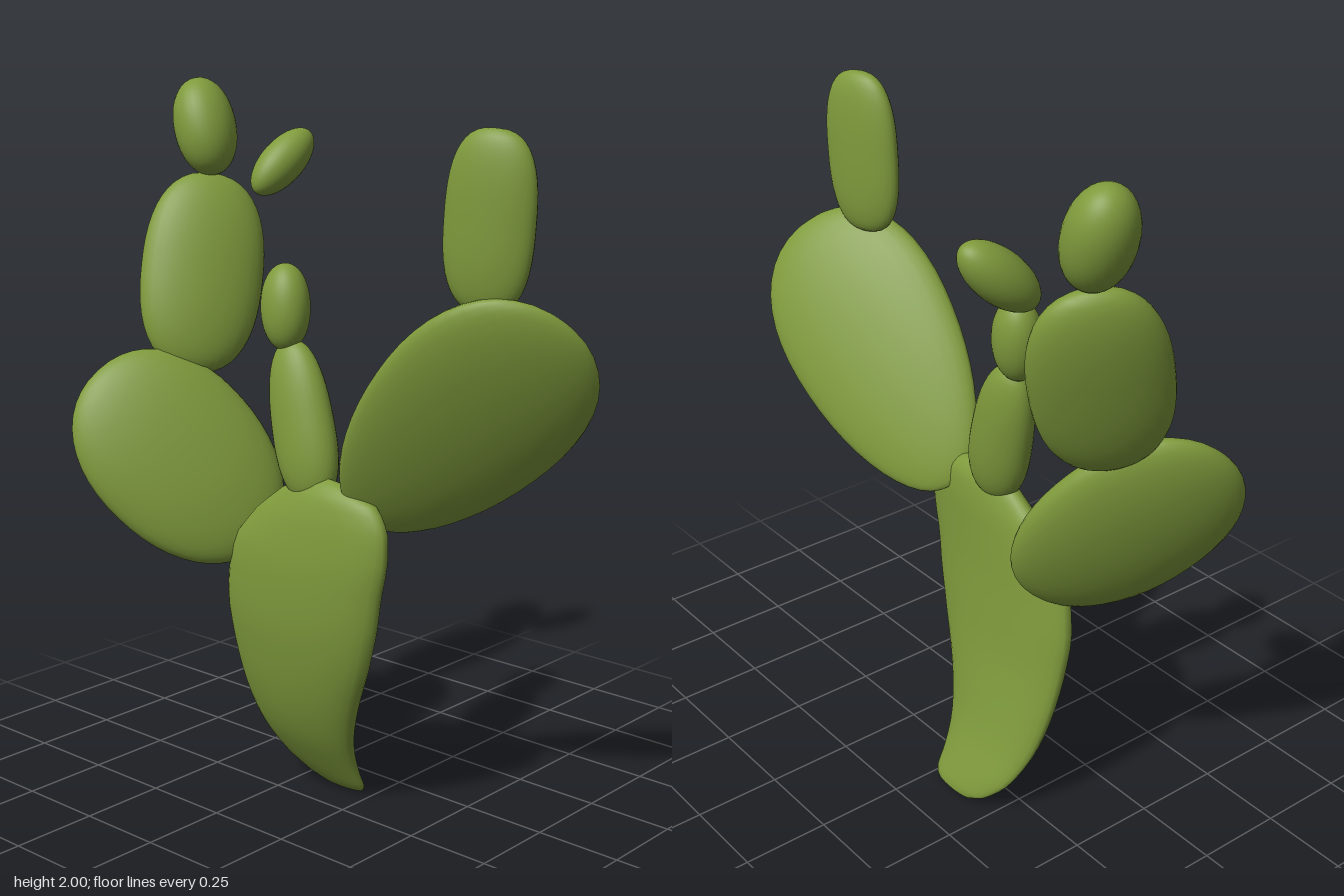
import * as THREE from 'three';
import { mergeVertices } from 'three/addons/utils/BufferGeometryUtils.js';

const green = new THREE.MeshStandardMaterial({ color: 0x7f9a3c });
green.name = 'cactusGreen';

// Weld the seam so the shading stays smooth all round
function smooth(geo) {
  geo.deleteAttribute('uv');
  geo.deleteAttribute('normal');
  const welded = mergeVertices(geo, 1e-4);
  welded.computeVertexNormals();
  return welded;
}

function addMesh(group, name, geo) {
  const mesh = new THREE.Mesh(smooth(geo), green);
  mesh.name = name;
  group.add(mesh);
}

// A pad grows along axis and faces along normal; size is half width, length, thickness.
// power makes the outline boxier, egg makes the tip wider than the base.
function padGeometry({ center, axis, normal, size, power = 2, egg = 0 }) {
  const geo = new THREE.SphereGeometry(1, 32, 24);
  const p = geo.attributes.position;
  for (let i = 0; i < p.count; i++) {
    const y = p.getY(i);
    const round = Math.sqrt(Math.max(0, 1 - y * y));
    const wanted = Math.pow(Math.max(0, 1 - Math.pow(Math.abs(y), power)), 1 / power);
    const k = round > 1e-4 ? (wanted / round) * (1 + egg * y) : 0;
    p.setXYZ(i, p.getX(i) * k * size[0], y * size[1], p.getZ(i) * k * size[2]);
  }
  const v = new THREE.Vector3(...axis).normalize();
  const w = new THREE.Vector3().crossVectors(v, new THREE.Vector3(...normal)).normalize();
  const n = new THREE.Vector3().crossVectors(w, v);
  geo.applyMatrix4(new THREE.Matrix4().makeBasis(w, v, n).setPosition(...center));
  return geo;
}

// The curved trunk pad is lofted through level cross-sections
function trunkGeometry() {
  // y, x min, x max, z, half thickness
  const rows = [
    [0.005, -0.11, -0.11, -0.12, 0],
    [0.015, -0.17, -0.03, -0.115, 0.014],
    [0.04, -0.22, -0.01, -0.102, 0.024],
    [0.1, -0.278, -0.005, -0.07, 0.036],
    [0.2, -0.322, 0.018, -0.022, 0.05],
    [0.32, -0.348, 0.065, 0.016, 0.06],
    [0.46, -0.364, 0.13, 0.046, 0.065],
    [0.6, -0.37, 0.176, 0.063, 0.068],
    [0.74, -0.343, 0.207, 0.07, 0.066],
    [0.86, -0.25, 0.212, 0.066, 0.058],
    [0.93, -0.16, 0.17, 0.062, 0.045],
    [0.965, -0.09, 0.08, 0.06, 0.025],
    [0.98, 0, 0, 0.06, 0],
  ];
  const spine = new THREE.CatmullRomCurve3(
    rows.map(([y, a, b, z]) => new THREE.Vector3((a + b) / 2, y, z)));
  const girth = new THREE.CatmullRomCurve3(
    rows.map(([, a, b, , t]) => new THREE.Vector3((b - a) / 2, t, 0)));
  const rings = 36, sides = 32, pos = [], index = [];
  for (let i = 0; i <= rings; i++) {
    const c = spine.getPoint(i / rings), g = girth.getPoint(i / rings);
    for (let j = 0; j < sides; j++) {
      const a = (j / sides) * Math.PI * 2;
      pos.push(c.x + Math.sin(a) * g.x, c.y, c.z + Math.cos(a) * g.y);
      if (i === rings) continue;
      const p = i * sides + j, q = i * sides + ((j + 1) % sides);
      index.push(p, q, p + sides, q, q + sides, p + sides);
    }
  }
  const geo = new THREE.BufferGeometry();
  geo.setAttribute('position', new THREE.Float32BufferAttribute(pos, 3));
  geo.setIndex(index);
  return geo;
}

export function createModel() {
  const group = new THREE.Group();
  group.name = 'cactus';
  addMesh(group, 'trunkPad', trunkGeometry());

  const pads = {
    // Arm on the model's left
    leftLargePad: { center: [0.39, 1.17, 0.005], axis: [0.59, 0.59, -0.03],
      normal: [0.45, -0.41, 0.79], size: [0.25, 0.425, 0.062], power: 2.15, egg: 0.2 },
    leftTopPad: { center: [0.523, 1.7, 0.06], axis: [0.03, 0.42, 0],
      normal: [0.25, 0, 0.97], size: [0.118, 0.222, 0.048], power: 2.7 },
    // Arm on the model's right
    rightLowerPad: { center: [-0.485, 0.97, 0.135], axis: [-0.55, 0.73, 0.405],
      normal: [0.79, 0.31, 0.53], size: [0.245, 0.335, 0.075], power: 2.15, egg: 0.05 },
    rightUpperPad: { center: [-0.565, 1.465, -0.04], axis: [-0.14, 0.94, -0.3],
      normal: [0.8, 0.34, 0.5], size: [0.175, 0.285, 0.07], power: 2.4 },
    rightTopBud: { center: [-0.627, 1.865, -0.12], axis: [-0.045, 0.13, -0.01],
      normal: [1, 0.35, 0], size: [0.09, 0.14, 0.086], power: 2.1 },
    rightSideBud: { center: [-0.475, 1.765, -0.277], axis: [0.04, 0.13, -0.14],
      normal: [1, 0, 0], size: [0.062, 0.122, 0.06] },
    // Small shoot in the middle
    middlePad: { center: [-0.108, 1.115, 0.04], axis: [-0.11, 0.4, -0.03],
      normal: [0.2, 0, 1], size: [0.093, 0.22, 0.06], power: 2.5, egg: -0.1 },
    middleBud: { center: [-0.184, 1.415, 0.022], axis: [-0.02, 0.2, -0.02],
      normal: [0, 0, 1], size: [0.071, 0.117, 0.063], power: 2.1 },
  };
  for (const [name, pad] of Object.entries(pads)) addMesh(group, name, padGeometry(pad));
  return group;
}
